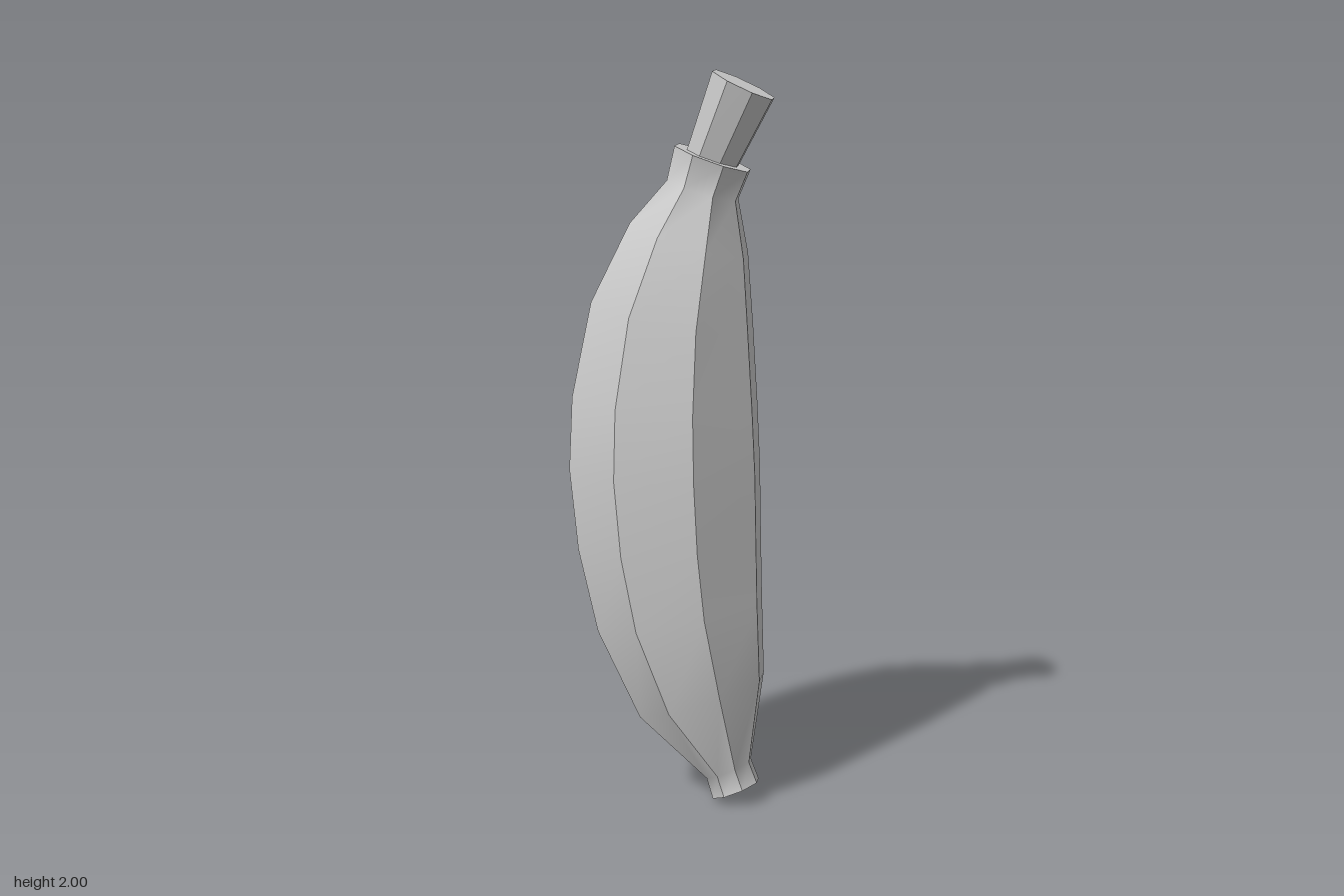
import * as THREE from 'three';

const SIDES = 8;

// Each ring: [left x, left y, right x, right y] - the ends of its tilted diameter
const PEEL = [
  [0.14, 0.005, 0.27, 0.065],
  [0.12, 0.06, 0.245, 0.12],
  [-0.08, 0.225, 0.275, 0.36],
  [-0.21, 0.47, 0.265, 0.58],
  [-0.27, 0.71, 0.26, 0.75],
  [-0.295, 0.94, 0.255, 0.93],
  [-0.285, 1.145, 0.245, 1.1],
  [-0.225, 1.41, 0.23, 1.31],
  [-0.11, 1.62, 0.215, 1.51],
  [-0.005, 1.725, 0.19, 1.66],
  [0.02, 1.815, 0.225, 1.735],
];
const STEM = [
  [0.053, 1.802, 0.192, 1.748],
  [0.13, 2.0, 0.293, 1.915],
];

// Point on a tilted circular ring
function ringPoint([lx, ly, rx, ry], i) {
  const t = (i / SIDES) * Math.PI * 2;
  const hx = (rx - lx) / 2, hy = (ry - ly) / 2;
  return [
    (lx + rx) / 2 + hx * Math.cos(t),
    (ly + ry) / 2 + hy * Math.cos(t),
    Math.hypot(hx, hy) * Math.sin(t),
  ];
}

// Loft through rings: smooth along each strip, hard edge between strips, flat caps
function loft(rings, name, material) {
  const pos = [], index = [];
  for (let s = 0; s < SIDES; s++) {
    const base = pos.length / 3;
    rings.forEach((ring, k) => {
      pos.push(...ringPoint(ring, s), ...ringPoint(ring, s + 1));
      if (k === 0) return;
      const a = base + (k - 1) * 2;
      index.push(a, a + 2, a + 1, a + 1, a + 2, a + 3);
    });
  }
  for (const top of [false, true]) {
    const ring = top ? rings[rings.length - 1] : rings[0];
    const base = pos.length / 3;
    for (let i = 0; i < SIDES; i++) pos.push(...ringPoint(ring, i));
    for (let i = 1; i < SIDES - 1; i++) {
      if (top) index.push(base, base + i + 1, base + i);
      else index.push(base, base + i, base + i + 1);
    }
  }
  const geometry = new THREE.BufferGeometry();
  geometry.setAttribute('position', new THREE.Float32BufferAttribute(pos, 3));
  geometry.setIndex(index);
  geometry.computeVertexNormals();
  const mesh = new THREE.Mesh(geometry, material);
  mesh.name = name;
  return mesh;
}

export function createModel() {
  const group = new THREE.Group();
  group.name = 'banana';
  const material = new THREE.MeshStandardMaterial({ color: 0xcccccc });
  // Curved body with blunt tip and flared collar, then the stem
  group.add(loft(PEEL, 'peel', material), loft(STEM, 'stem', material));
  return group;
}
